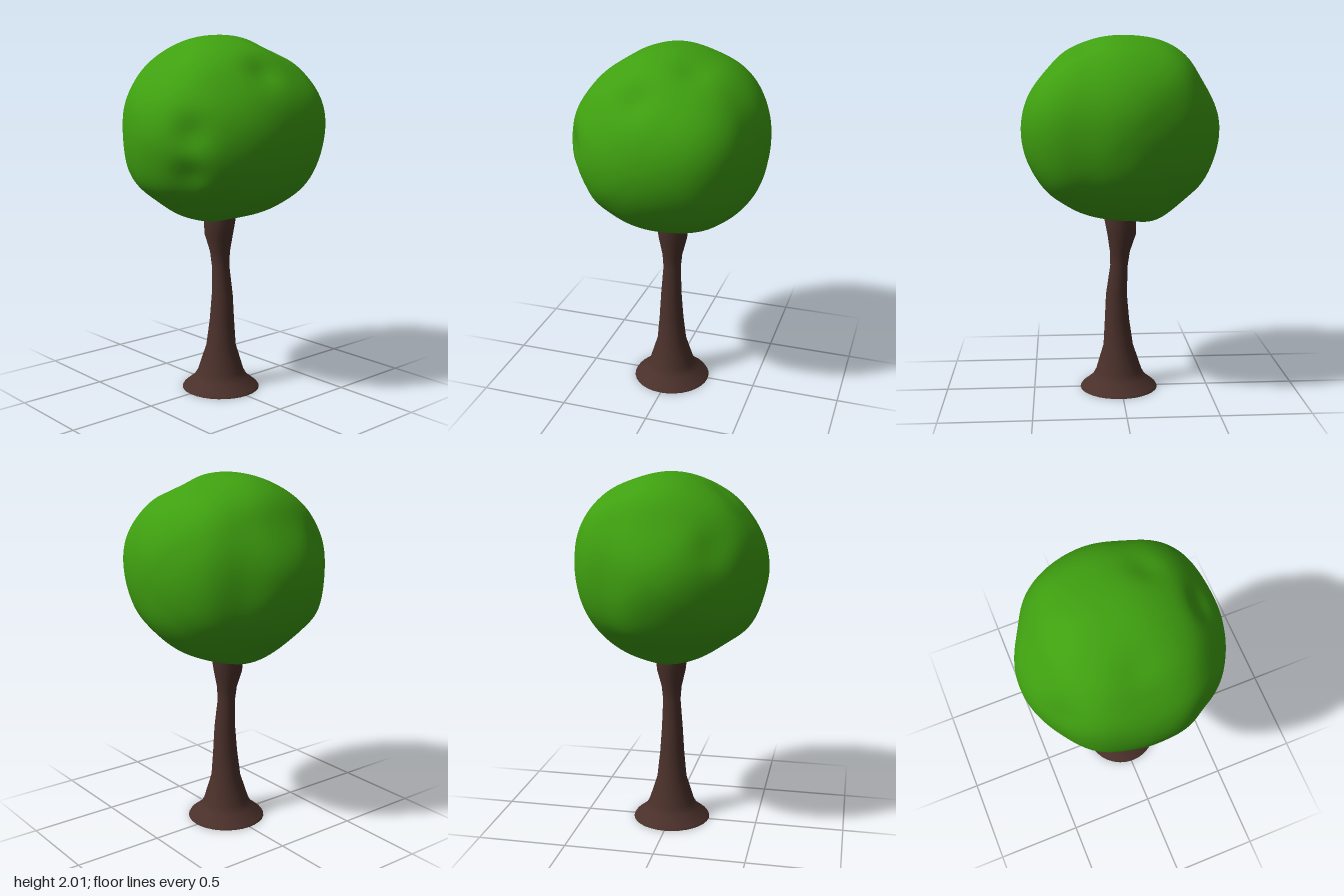
import * as THREE from 'three';
import { mergeVertices } from 'three/addons/utils/BufferGeometryUtils.js';

// Smooth polar radius through a loop of [u, v] points
function polarOutline(points) {
  const polar = points.map(([u, v]) => ({ a: Math.atan2(v, u), r: Math.hypot(u, v) }));
  return (u, v) => {
    const a = Math.atan2(v, u);
    let sum = 0, total = 0;
    for (const p of polar) {
      const w = Math.exp((Math.cos(a - p.a) - 1) * 32);
      sum += w * p.r;
      total += w;
    }
    return sum / total;
  };
}

// Crown outlines around its centre in the three main planes
const CROWN_Y = 1.48;
const outlineXY = polarOutline([
  [0.55, 0.02], [0.51, 0.21], [0.43, 0.31], [0.36, 0.41], [0.2, 0.49], [0.06, 0.525],
  [-0.1, 0.52], [-0.22, 0.51], [-0.35, 0.43], [-0.44, 0.27], [-0.51, 0.16], [-0.56, 0.03],
  [-0.52, -0.12], [-0.48, -0.24], [-0.32, -0.4], [-0.17, -0.52], [0, -0.51], [0.1, -0.47],
  [0.27, -0.425], [0.45, -0.28], [0.53, -0.13]]);
const outlineZY = polarOutline([
  [0.535, 0.02], [0.5, 0.16], [0.4, 0.28], [0.31, 0.41], [0.17, 0.49], [0, 0.525],
  [-0.18, 0.49], [-0.36, 0.41], [-0.48, 0.27], [-0.535, 0.12], [-0.51, -0.08], [-0.5, -0.2],
  [-0.43, -0.31], [-0.3, -0.43], [-0.15, -0.49], [0, -0.5], [0.15, -0.49], [0.3, -0.4],
  [0.47, -0.27], [0.51, -0.13]]);
const outlineXZ = polarOutline([
  [0.55, 0.05], [0.52, 0.18], [0.46, 0.3], [0.36, 0.43], [0.22, 0.51], [0.08, 0.535],
  [-0.1, 0.51], [-0.32, 0.42], [-0.4, 0.33], [-0.5, 0.21], [-0.555, 0.02], [-0.53, -0.1],
  [-0.45, -0.23], [-0.37, -0.39], [-0.2, -0.49], [0, -0.535], [0.2, -0.485], [0.38, -0.43],
  [0.49, -0.3], [0.545, -0.12]]);

// Lumps and dents: direction, height, sharpness
const lumps = [
  [[0.55, 0.05, 0.83], -0.03, 60], [[0.5, -0.35, 0.8], -0.025, 60],
  [[0.42, 0.9, -0.35], -0.02, 60], [[0.75, 0.62, 0.1], -0.025, 60],
  [[0.75, 0.3, -0.6], 0.025, 14], [[-0.5, 0.45, 0.7], 0.025, 14],
  [[0.35, 0.55, 0.7], 0.02, 18], [[-0.6, 0.5, -0.6], 0.02, 14],
  [[-0.55, -0.45, 0.7], 0.02, 18], [[0.6, -0.5, -0.6], 0.015, 18],
  [[-0.05, 0.8, 0.55], -0.012, 60], [[-0.8, 0.3, 0.55], -0.015, 60],
  [[0.05, -0.98, -0.15], -0.02, 40],
].map(([d, h, k]) => ({ d: new THREE.Vector3(...d).normalize(), h, k }));

function crownRadius(n) {
  const wXY = 1 / (n.z * n.z + 0.03);
  const wZY = 1 / (n.x * n.x + 0.03);
  const wXZ = 1 / (n.y * n.y + 0.03);
  let r = (wXY * outlineXY(n.x, n.y) + wZY * outlineZY(n.z, n.y) + wXZ * outlineXZ(n.x, n.z))
    / (wXY + wZY + wXZ);
  for (const { d, h, k } of lumps) r += h * Math.exp((n.dot(d) - 1) * k);
  return r;
}

function createCrown() {
  let geometry = new THREE.IcosahedronGeometry(1, 28);
  geometry.deleteAttribute('normal');
  geometry.deleteAttribute('uv');
  geometry = mergeVertices(geometry);
  const pos = geometry.attributes.position;
  const n = new THREE.Vector3();
  for (let i = 0; i < pos.count; i++) {
    n.fromBufferAttribute(pos, i).normalize();
    const r = crownRadius(n);
    pos.setXYZ(i, n.x * r, n.y * r, n.z * r);
  }
  geometry.computeVertexNormals();
  const crown = new THREE.Mesh(geometry, new THREE.MeshStandardMaterial({ color: 0x3fa010 }));
  crown.name = 'crown';
  crown.position.y = CROWN_Y;
  return crown;
}

function createTrunk() {
  const trunk = new THREE.Group();
  trunk.name = 'trunk';
  const material = new THREE.MeshStandardMaterial({ color: 0x4a302a });

  // Flared stem: height, radius, sideways bend
  const rings = [
    [0, 0.222, 0.012], [0.012, 0.215, 0.012], [0.06, 0.155, 0.012], [0.1, 0.132, 0.012],
    [0.25, 0.085, 0.015], [0.4, 0.07, 0.022], [0.55, 0.06, 0.025], [0.72, 0.05, 0.01],
    [0.8, 0.057, 0.005], [0.9, 0.081, -0.005], [0.98, 0.09, 0.002], [1.1, 0.09, 0.005]];
  const stem = new THREE.LatheGeometry(rings.map(([y, r]) => new THREE.Vector2(r, y)), 32);
  const pos = stem.attributes.position;
  for (let i = 0; i < pos.count; i++) pos.setX(i, pos.getX(i) + rings[i % rings.length][2]);
  const stemMesh = new THREE.Mesh(stem, material);
  stemMesh.name = 'stem';

  // Underside of the flare
  const base = new THREE.Mesh(new THREE.CircleGeometry(0.222, 32), material);
  base.name = 'trunkBase';
  base.rotation.x = Math.PI / 2;
  base.position.x = 0.012;

  trunk.add(stemMesh, base);
  return trunk;
}

export function createModel() {
  const tree = new THREE.Group();
  tree.name = 'tree';
  tree.add(createTrunk(), createCrown());
  return tree;
}
